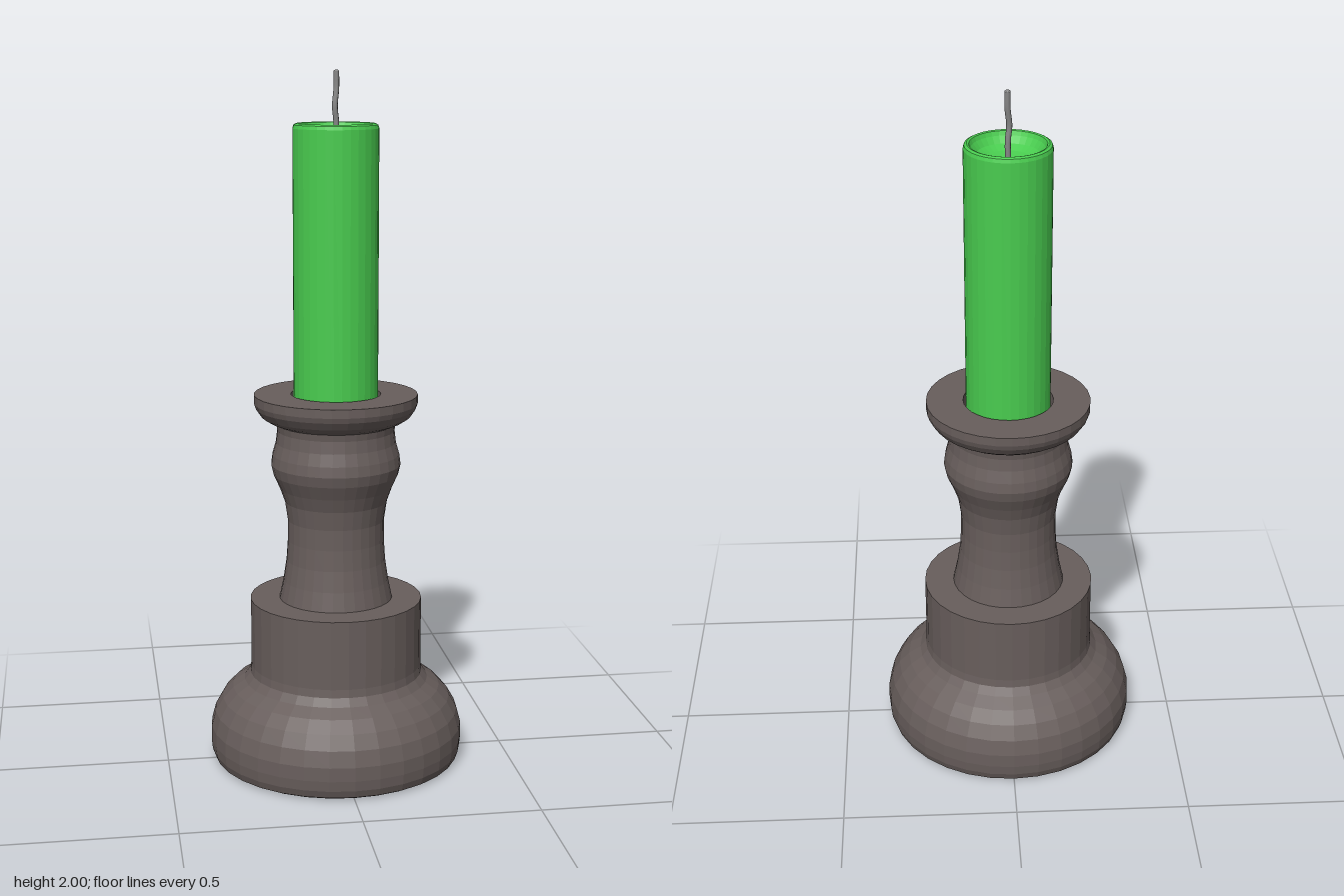
import * as THREE from 'three';

const SEGMENTS = 32;

// Turned part from [radius, height] pairs, listed from the bottom up the outside.
function turned(name, profile, color) {
  const points = profile.map(([r, y]) => new THREE.Vector2(r, y));
  const material = new THREE.MeshStandardMaterial({ color, flatShading: true });
  const mesh = new THREE.Mesh(new THREE.LatheGeometry(points, SEGMENTS), material);
  mesh.name = name;
  return mesh;
}

export function createModel() {
  const group = new THREE.Group();
  group.name = 'candlestick';
  const wood = 0x685e5c;

  // Rounded foot rising into a straight drum
  group.add(turned('base', [
    [0, 0], [0.345, 0], [0.36, 0.008], [0.368, 0.03], [0.371, 0.06], [0.37, 0.1],
    [0.358, 0.145], [0.335, 0.185], [0.305, 0.217], [0.27, 0.24],
    [0.253, 0.262], [0.25, 0.285], [0.25, 0.485], [0, 0.485],
  ], wood));

  // Waisted stem with a bulge, a flared lip and a socket for the candle
  group.add(turned('stem', [
    [0.165, 0.483], [0.153, 0.54], [0.144, 0.6], [0.14, 0.66], [0.14, 0.72],
    [0.148, 0.775], [0.162, 0.815], [0.18, 0.855], [0.187, 0.885], [0.183, 0.915],
    [0.173, 0.95], [0.169, 0.985], [0.172, 1.005], [0.195, 1.015], [0.215, 1.028],
    [0.23, 1.05], [0.235, 1.065], [0.235, 1.09],
    [0.129, 1.09], [0.129, 0.97], [0, 0.97],
  ], wood));

  // Candle with a softened rim and a melted hollow
  group.add(turned('candle', [
    [0, 0.971], [0.121, 0.971], [0.121, 1.84], [0.118, 1.85], [0.111, 1.854],
    [0.105, 1.852], [0.1, 1.84], [0.086, 1.822], [0.064, 1.81], [0.035, 1.803], [0, 1.8],
  ], 0x49cc4f));

  // Slightly wavy wick with a closed tip
  const path = new THREE.CatmullRomCurve3([
    [0, 1.79, 0], [0.001, 1.86, 0], [-0.003, 1.9, 0.002],
    [0.002, 1.95, -0.003], [0.002, 1.995, -0.004],
  ].map((p) => new THREE.Vector3(...p)));
  const wickMaterial = new THREE.MeshStandardMaterial({ color: 0x888888 });
  const wick = new THREE.Mesh(new THREE.TubeGeometry(path, 16, 0.008, 8), wickMaterial);
  wick.name = 'wick';
  const tip = new THREE.Mesh(new THREE.SphereGeometry(0.008, 8, 4, 0, Math.PI * 2, 0, Math.PI / 2), wickMaterial);
  tip.name = 'wickTip';
  tip.scale.y = 0.6;
  tip.position.copy(path.getPoint(1));
  group.add(wick, tip);

  return group;
}
